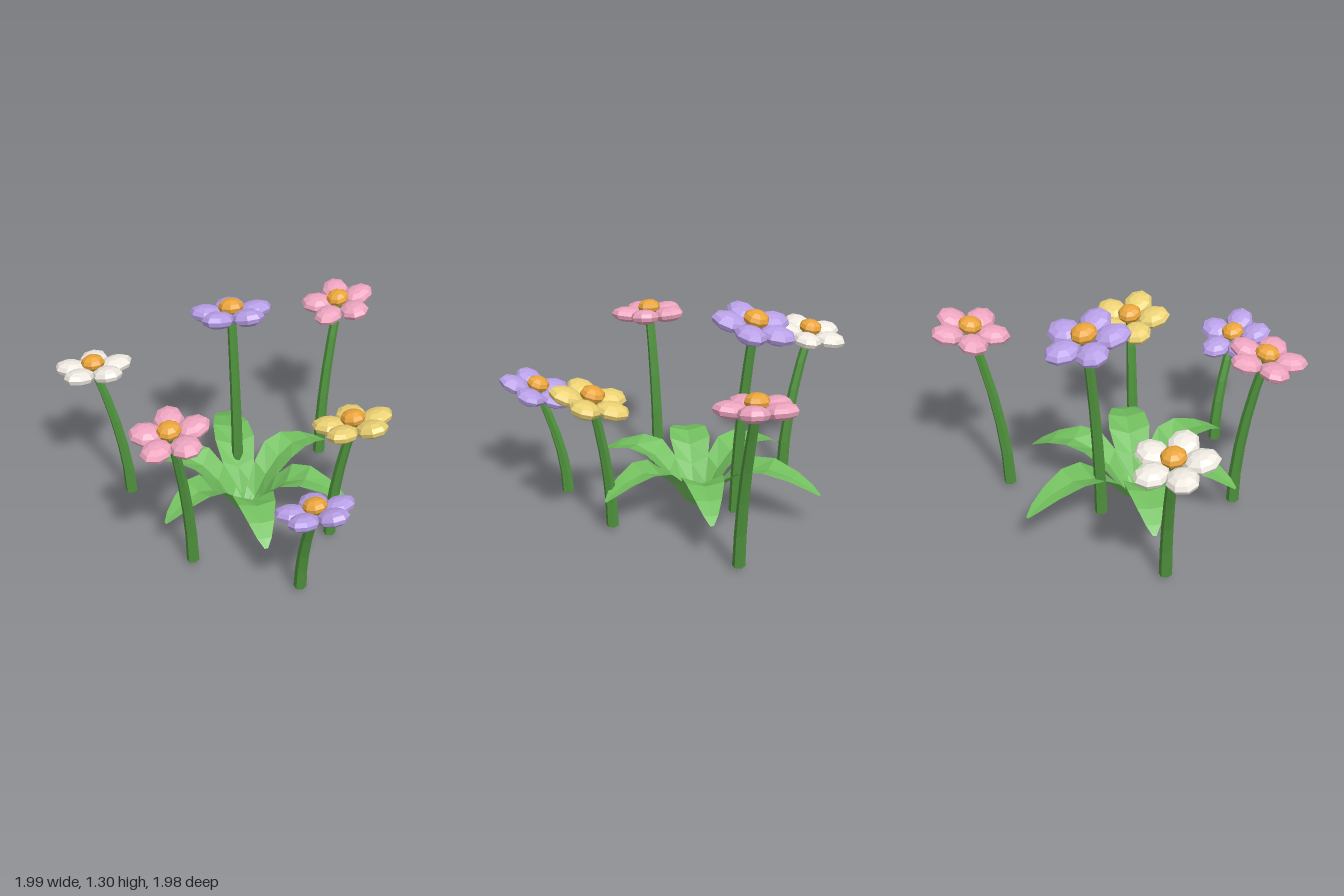
import * as THREE from 'three';

const mat = (color, side = THREE.FrontSide) =>
  new THREE.MeshStandardMaterial({ color, flatShading: true, side });

const LEAF = mat(0x72bf5e, THREE.DoubleSide);
const STEM = mat(0x4f923d);
const DISC = mat(0xeba53c);
const PURPLE = mat(0xb9a0e8), PINK = mat(0xeea5bf), YELLOW = mat(0xecd274), WHITE = mat(0xf0ebe2);

function mesh(name, geometry, material) {
  const m = new THREE.Mesh(geometry, material);
  m.name = name;
  return m;
}

// Folded, arching leaf pointing along +x: each row is left edge, midrib, right edge
function leafGeometry(length) {
  // distance along, midrib height, half width, edge lift
  const rows = [
    [0, 0.0, 0.025, 0.02], [0.08, 0.07, 0.07, 0.05], [0.17, 0.2, 0.1, 0.05],
    [0.27, 0.29, 0.122, 0.05], [0.39, 0.335, 0.11, 0.025],
    [0.52, 0.31, 0.075, 0.01], [0.61, 0.265, 0.042, 0.005], [0.66, 0.232, 0.01, 0]
  ];
  const pos = [], idx = [];
  rows.forEach(([r, y, w, lift], i) => {
    const x = r * length / 0.66;
    pos.push(x, y + lift, -w, x, y, 0, x, y + lift, w);
    if (i === 0) return;
    for (let j = 0; j < 2; j++) {
      const a = (i - 1) * 3 + j, b = a + 3;
      idx.push(a, a + 1, b, a + 1, b + 1, b);
    }
  });
  const g = new THREE.BufferGeometry();
  g.setAttribute('position', new THREE.Float32BufferAttribute(pos, 3));
  g.setIndex(idx);
  g.computeVertexNormals();
  return g;
}

// Tapered six-sided stem that leans progressively towards its top
function stemGeometry(base, top) {
  const h = top.y - base.y;
  const g = new THREE.CylinderGeometry(0.027, 0.037, h, 6, 5);
  g.translate(0, h / 2, 0);
  const p = g.attributes.position;
  for (let i = 0; i < p.count; i++) {
    const k = Math.pow(Math.max(p.getY(i), 0) / h, 1.8);
    p.setX(i, p.getX(i) + (top.x - base.x) * k);
    p.setZ(i, p.getZ(i) + (top.z - base.z) * k);
  }
  g.computeVertexNormals();
  return g;
}

// Five plump petals around a domed centre
function flowerHead(material) {
  const head = new THREE.Group();
  head.name = 'flowerHead';
  const petalGeo = new THREE.SphereGeometry(1, 8, 6);
  petalGeo.scale(0.1, 0.047, 0.086);
  petalGeo.rotateZ(0.12);
  petalGeo.translate(0.134, 0, 0);
  for (let i = 0; i < 5; i++) {
    const petal = mesh('petal', petalGeo, material);
    petal.rotation.y = i * Math.PI * 2 / 5;
    head.add(petal);
  }
  const disc = mesh('flowerCentre', new THREE.SphereGeometry(0.07, 8, 6), DISC);
  disc.scale.y = 0.65;
  disc.position.y = 0.04;
  disc.rotation.y = Math.PI / 8;
  head.add(disc);
  return head;
}

// base x/z, head position, slope of the head along x and z, size
const FLOWERS = [
  { color: WHITE, base: [-0.655, -0.655], top: [-0.795, 0.89, -0.775], slope: [0, 0.17], size: 1.02 },
  { color: PINK, base: [-0.55, 0.13], top: [-0.68, 0.995, 0.21], slope: [0.14, -0.07], size: 1 },
  { color: PURPLE, base: [-0.017, -0.44], top: [-0.007, 1.21, -0.525], slope: [-0.04, 0.24], size: 1.08 },
  { color: PINK, base: [0.605, -0.55], top: [0.76, 1.05, -0.64], slope: [0.2, -0.05], size: 1 },
  { color: YELLOW, base: [0.29, 0.235], top: [0.375, 0.845, 0.325], slope: [0.06, 0.25], size: 1.04 },
  { color: PURPLE, base: [-0.08, 0.6], top: [-0.08, 0.685, 0.775], slope: [0.03, 0.32], size: 0.99 }
];

export function createModel() {
  const model = new THREE.Group();
  model.name = 'flowerPatch';

  // Rosette of six leaves
  const rosette = new THREE.Group();
  rosette.name = 'leafRosette';
  rosette.position.set(-0.08, 0, -0.19);
  [0.67, 0.65, 0.65, 0.61, 0.66, 0.775].forEach((length, i) => {
    const leaf = mesh('leaf', leafGeometry(length), LEAF);
    leaf.rotation.y = THREE.MathUtils.degToRad(17.5 - i * 60);
    rosette.add(leaf);
  });
  model.add(rosette);

  // Flowers
  const up = new THREE.Vector3(0, 1, 0);
  for (const f of FLOWERS) {
    const flower = new THREE.Group();
    flower.name = 'flower';
    const base = new THREE.Vector3(f.base[0], 0.027, f.base[1]);
    const top = new THREE.Vector3(...f.top);
    const stem = mesh('stem', stemGeometry(base, top), STEM);
    stem.position.copy(base);
    const head = flowerHead(f.color);
    head.position.copy(top);
    head.scale.setScalar(f.size);
    head.quaternion.setFromUnitVectors(up, new THREE.Vector3(-f.slope[0], 1, -f.slope[1]).normalize());
    flower.add(stem, head);
    model.add(flower);
  }
  return model;
}
